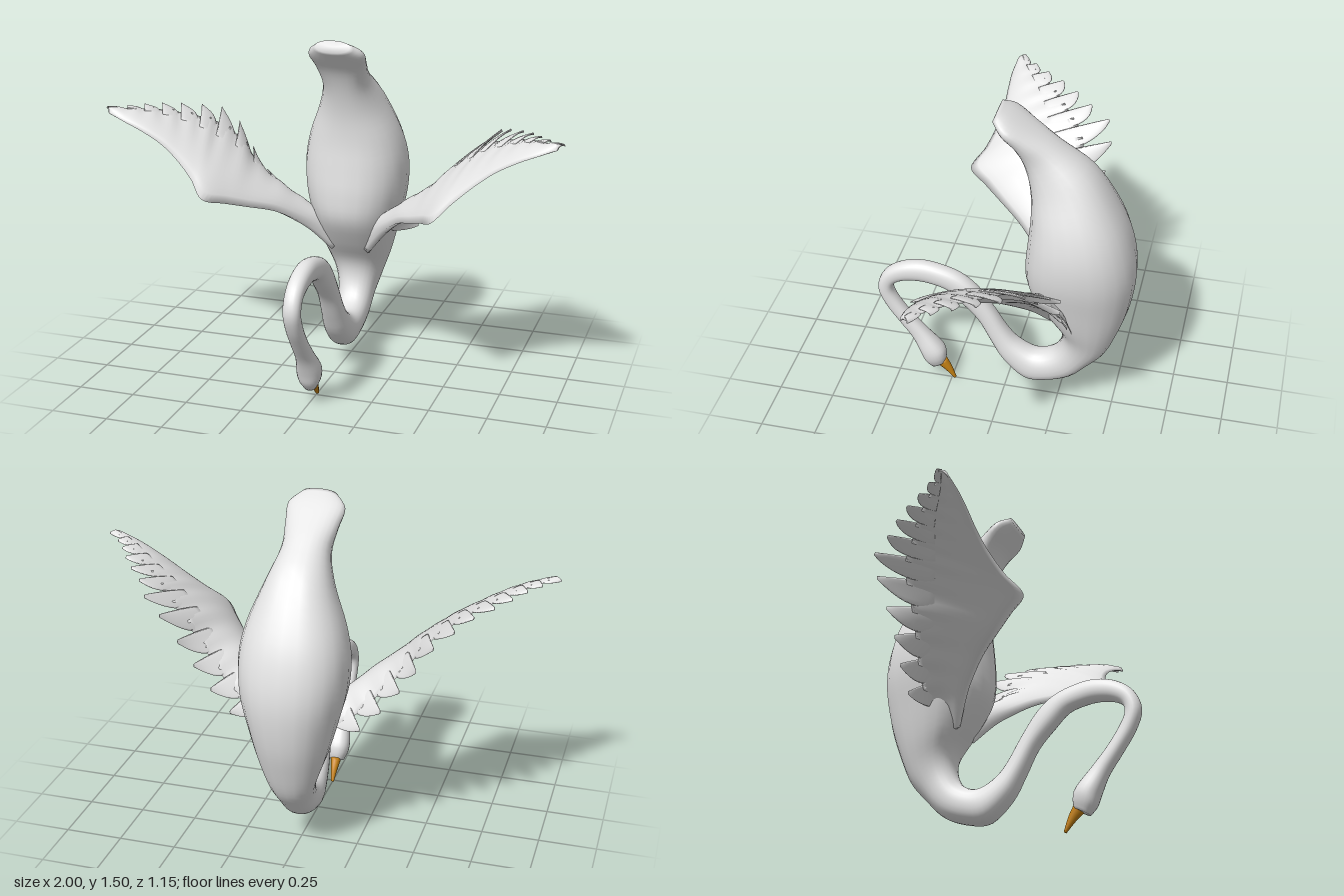
import * as THREE from 'three';

const V = (x, y, z) => new THREE.Vector3(x, y, z);
const plumage = new THREE.MeshStandardMaterial({ color: 0xe4e4e4 });
plumage.name = 'plumage';
const orange = new THREE.MeshStandardMaterial({ color: 0xc98414 });
orange.name = 'beakOrange';

// Skin a list of closed rings, cap both ends, and turn the faces outward
function loft(rings) {
  const n = rings[0].length, pts = rings.flat(), index = [];
  for (let i = 0; i < rings.length - 1; i++)
    for (let j = 0; j < n; j++) {
      const a = i * n + j, b = i * n + (j + 1) % n;
      index.push(a, b, a + n, b, b + n, a + n);
    }
  const cap = (ring, start, flip) => {
    const c = pts.length;
    pts.push(ring.reduce((s, p) => s.add(p), V(0, 0, 0)).divideScalar(n));
    for (let j = 0; j < n; j++) {
      const a = start + j, b = start + (j + 1) % n;
      index.push(c, flip ? b : a, flip ? a : b);
    }
  };
  cap(rings[0], 0, true);
  cap(rings[rings.length - 1], (rings.length - 1) * n, false);
  let volume = 0;
  for (let i = 0; i < index.length; i += 3)
    volume += pts[index[i]].dot(V(0, 0, 0).crossVectors(pts[index[i + 1]], pts[index[i + 2]]));
  if (volume < 0) index.reverse();
  const g = new THREE.BufferGeometry().setFromPoints(pts);
  g.setIndex(index);
  g.computeVertexNormals();
  return g;
}

// Sections: [inner z, inner y, outer z, outer y, half width]
const soften = v => Math.sign(v) * Math.abs(v) ** 0.88;
function spineLoft(sections, steps, sides) {
  const inner = new THREE.CatmullRomCurve3(sections.map(s => V(s[4], s[1], s[0])), false, 'catmullrom');
  const outer = new THREE.CatmullRomCurve3(sections.map(s => V(0, s[3], s[2])), false, 'catmullrom');
  const rings = [];
  for (let i = 0; i <= steps; i++) {
    const a = inner.getPoint(i / steps), b = outer.getPoint(i / steps), w = a.x;
    a.x = 0;
    const mid = a.clone().add(b).multiplyScalar(0.5), half = b.sub(a).multiplyScalar(0.5);
    rings.push(Array.from({ length: sides }, (_, j) => {
      const t = j / sides * Math.PI * 2;
      return mid.clone().addScaledVector(half, soften(Math.cos(t))).add(V(w * soften(Math.sin(t)), 0, 0));
    }));
  }
  return loft(rings);
}

// Tail and body
const body = [
  [0.04, 1.455, 0.02, 1.505, 0.075], [0.0, 1.41, -0.04, 1.475, 0.122],
  [-0.05, 1.345, -0.13, 1.42, 0.112], [-0.09, 1.25, -0.24, 1.35, 0.103],
  [-0.115, 1.14, -0.38, 1.245, 0.14], [-0.12, 1.02, -0.49, 1.07, 0.2],
  [-0.11, 0.9, -0.55, 0.92, 0.227], [-0.1, 0.78, -0.575, 0.76, 0.22],
  [-0.11, 0.67, -0.555, 0.58, 0.185], [-0.18, 0.55, -0.51, 0.43, 0.148],
  [-0.25, 0.45, -0.46, 0.31, 0.108], [-0.265, 0.37, -0.395, 0.23, 0.085],
];
// Neck and head
const neck = [
  [-0.24, 0.295, -0.31, 0.145, 0.075], [-0.19, 0.255, -0.2, 0.1, 0.07],
  [-0.13, 0.25, -0.1, 0.095, 0.067], [-0.06, 0.29, 0, 0.18, 0.058],
  [-0.01, 0.35, 0.06, 0.28, 0.05], [0.05, 0.45, 0.12, 0.39, 0.045],
  [0.12, 0.55, 0.2, 0.475, 0.045], [0.2, 0.615, 0.26, 0.53, 0.043],
  [0.3, 0.648, 0.33, 0.55, 0.042], [0.39, 0.655, 0.39, 0.555, 0.042],
  [0.48, 0.63, 0.455, 0.545, 0.04], [0.55, 0.575, 0.5, 0.52, 0.038],
  [0.58, 0.49, 0.51, 0.48, 0.037], [0.55, 0.4, 0.485, 0.425, 0.035],
  [0.49, 0.31, 0.43, 0.345, 0.035], [0.43, 0.225, 0.36, 0.265, 0.038],
  [0.395, 0.15, 0.29, 0.185, 0.052], [0.375, 0.1, 0.275, 0.14, 0.048],
  [0.345, 0.063, 0.278, 0.1, 0.03],
];
const beak = [
  [0.325, 0.085, 0.275, 0.112, 0.025], [0.283, 0.05, 0.25, 0.065, 0.016],
  [0.24, 0.003, 0.23, 0.008, 0.007],
];

// Wing surface: leading edge to feather tips, u from inside the body to the wing tip
const curve = list => new THREE.CatmullRomCurve3(list.map(p => V(...p)), false, 'catmullrom');
const leading = curve([
  [0.07, 0.52, -0.21], [0.15, 0.62, -0.14], [0.21, 0.675, -0.08], [0.28, 0.73, 0],
  [0.36, 0.77, 0.1], [0.43, 0.805, 0.19], [0.5, 0.84, 0.275], [0.57, 0.91, 0.225],
  [0.65, 0.98, 0.19], [0.73, 1.04, 0.175], [0.82, 1.09, 0.175], [0.9, 1.125, 0.175],
  [0.97, 1.155, 0.165],
]);
const trailing = curve([
  [0.15, 0.53, -0.33], [0.25, 0.59, -0.35], [0.34, 0.68, -0.35], [0.42, 0.78, -0.34],
  [0.49, 0.88, -0.34], [0.56, 1, -0.355], [0.64, 1.08, -0.34], [0.7, 1.115, -0.25],
  [0.77, 1.135, -0.17], [0.83, 1.15, -0.09], [0.88, 1.16, -0.01], [0.93, 1.165, 0.06],
  [1, 1.17, 0.13],
]);
const up = V(-0.5, 0.85, 0).normalize();
const FEATHERS = 12, BASE = 0.79, FIRST = 0.075, SPAN = 0.89;

function wingPoint(u, t, lift, side) {
  u = THREE.MathUtils.clamp(u, 0, 1);
  const camber = (0.012 + 0.05 * (1 - u)) * Math.sin(Math.PI * Math.min(t, 1));
  const p = leading.getPoint(u).lerp(trailing.getPoint(u), t).addScaledVector(up, camber + lift);
  p.x *= side;
  return p;
}

function makeWing(side) {
  const wing = new THREE.Group();
  wing.name = side > 0 ? 'leftWing' : 'rightWing';
  const add = (name, rings) => {
    const m = new THREE.Mesh(loft(rings), plumage);
    m.name = name;
    wing.add(m);
  };
  // Web of the wing, thicker at the root and rippled toward the feathers
  const rings = [], N = 14;
  for (let i = 0; i <= 66; i++) {
    const u = i / 66, ring = [];
    const ripple = 0.005 * Math.cos((u - FIRST) / SPAN * (FEATHERS - 1) * Math.PI * 2);
    for (let j = 0; j < 2 * N; j++) {
      const k = j <= N ? j / N : 2 - j / N;
      const thick = (0.01 + 0.04 * (1 - u) ** 3) * Math.sin(Math.PI * k ** 0.6);
      const lift = (j <= N ? thick : -thick) + ripple * k * k;
      ring.push(wingPoint(u, k * BASE, lift, side));
    }
    rings.push(ring);
  }
  add('wingWeb', rings);
  // Broad flight feathers with hooked points
  for (let i = 0; i < FEATHERS; i++) {
    const centre = FIRST + SPAN * i / (FEATHERS - 1), blade = [];
    for (let s = 0; s <= 10; s++) {
      const k = s / 10, width = 0.08 * (1 - 0.92 * k ** 3), ring = [];
      for (let j = 0; j < 12; j++) {
        const a = j / 12 * Math.PI * 2;
        const u = centre + 0.035 * k ** 3 + Math.cos(a) * width / 2;
        ring.push(wingPoint(u, BASE - 0.2 + (1.2 - BASE) * k,
          0.008 * Math.sin(a) * (1 - 0.6 * k) + 0.005 * Math.cos(a), side));
      }
      blade.push(ring);
    }
    add('feather', blade);
  }
  return wing;
}

export function createModel() {
  const model = new THREE.Group();
  model.name = 'swan';
  const torso = new THREE.Mesh(spineLoft([...body, ...neck], 120, 24), plumage);
  torso.name = 'bodyNeckAndHead';
  const bill = new THREE.Mesh(spineLoft(beak, 8, 12), orange);
  bill.name = 'beak';
  model.add(torso, bill, makeWing(1), makeWing(-1));
  return model;
}
